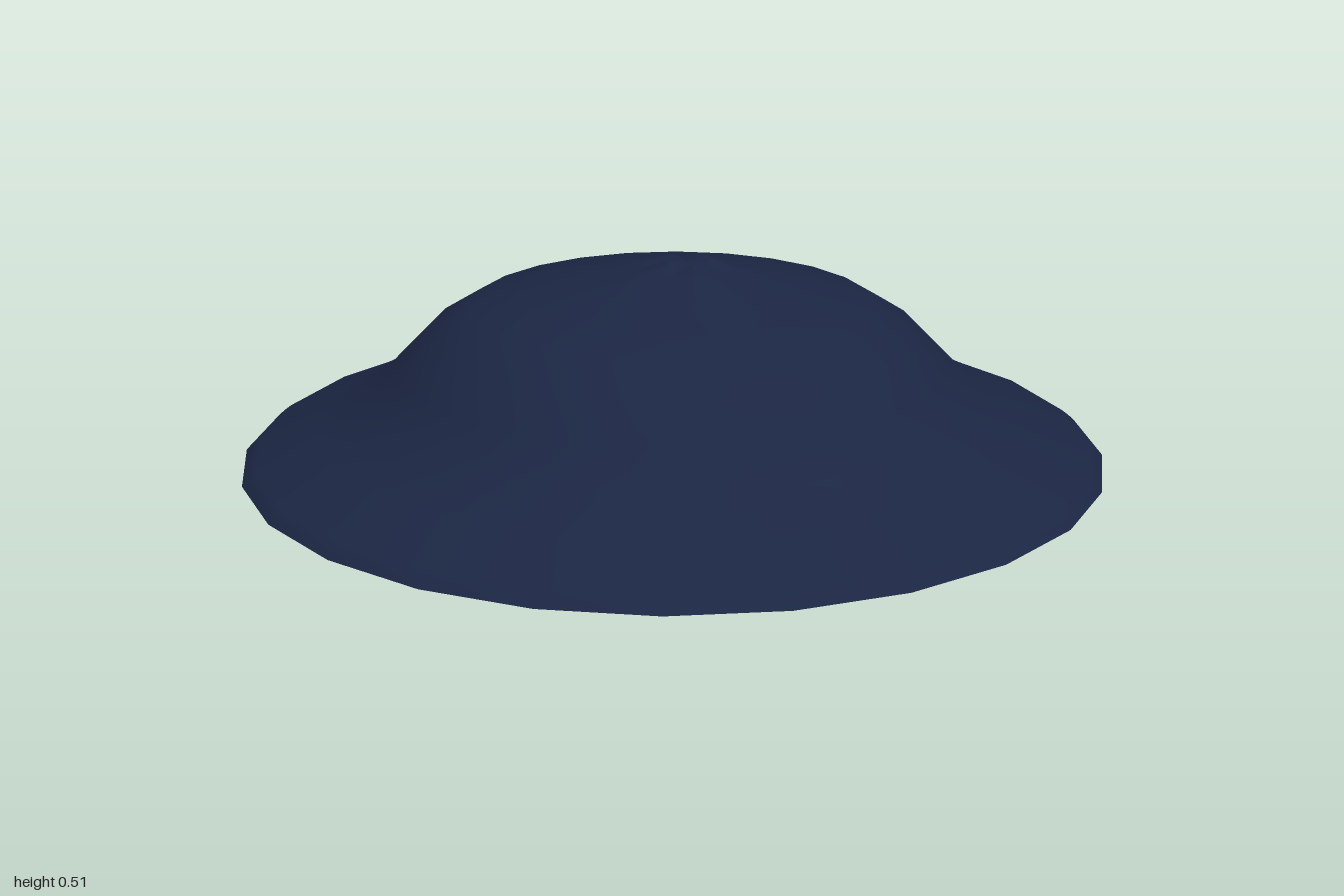
import * as THREE from 'three';
import { mergeVertices } from 'three/addons/utils/BufferGeometryUtils.js';

const SIDES = 24;
const TILT = 0.03; // the brim dips towards the front

export function createModel() {
  const group = new THREE.Group();
  group.name = 'wideHat';
  const navy = new THREE.MeshStandardMaterial({ color: 0x1b2643, side: THREE.DoubleSide });
  navy.name = 'navyCloth';

  // Turn a profile, let a rule shift each point, tilt it and smooth it
  function turned(name, profile, shift) {
    let geo = new THREE.LatheGeometry(profile.map(([r, y]) => new THREE.Vector2(r, y)), SIDES);
    geo.deleteAttribute('normal');
    geo.deleteAttribute('uv');
    geo = mergeVertices(geo, 1e-4);
    const pos = geo.attributes.position;
    const p = new THREE.Vector3();
    for (let i = 0; i < pos.count; i++) {
      p.fromBufferAttribute(pos, i);
      if (shift) shift(p, Math.hypot(p.x, p.z), Math.atan2(p.x, p.z));
      p.y -= TILT * p.z;
      pos.setXYZ(i, p.x, p.y, p.z);
    }
    geo.computeVertexNormals();
    const mesh = new THREE.Mesh(geo, navy);
    mesh.name = name;
    group.add(mesh);
  }

  // Brim and domed crown, gathered into a small off-centre pinch at the tip
  turned('crown', [
    [0.985, 0.053], [0.967, 0.067], [0.825, 0.128], [0.71, 0.188], [0.635, 0.265], [0.56, 0.342],
    [0.468, 0.398], [0.35, 0.425], [0.24, 0.452], [0.12, 0.483], [0.05, 0.503], [0, 0.49],
  ], (p, r, a) => {
    const pinch = Math.max(0, 1 - r / 0.24);
    p.x += 0.05 * pinch;
    if (r > 0.01) p.y += 0.008 * pinch * (Math.sin(a * 5) - 0.4);
  });

  // Thin upper bevel of the hem
  turned('hem', [[1, 0.039], [0.985, 0.053]]);

  // Shallow hollow underside with a gathered knot hanging in the middle
  turned('underside', [
    [0, 0.014], [0.04, 0.004], [0.1, 0.003], [0.2, 0.038], [0.34, 0.078], [0.5, 0.098],
    [0.65, 0.093], [0.82, 0.069], [0.97, 0.041], [1, 0.039],
  ], (p, r, a) => {
    const gather = Math.max(0, 1 - r / 0.2);
    p.x -= 0.03 * gather;
    p.z += 0.05 * gather;
    if (r > 0.01) p.y += 0.008 * gather * (1 + Math.sin(a * 3));
  });

  return group;
}
